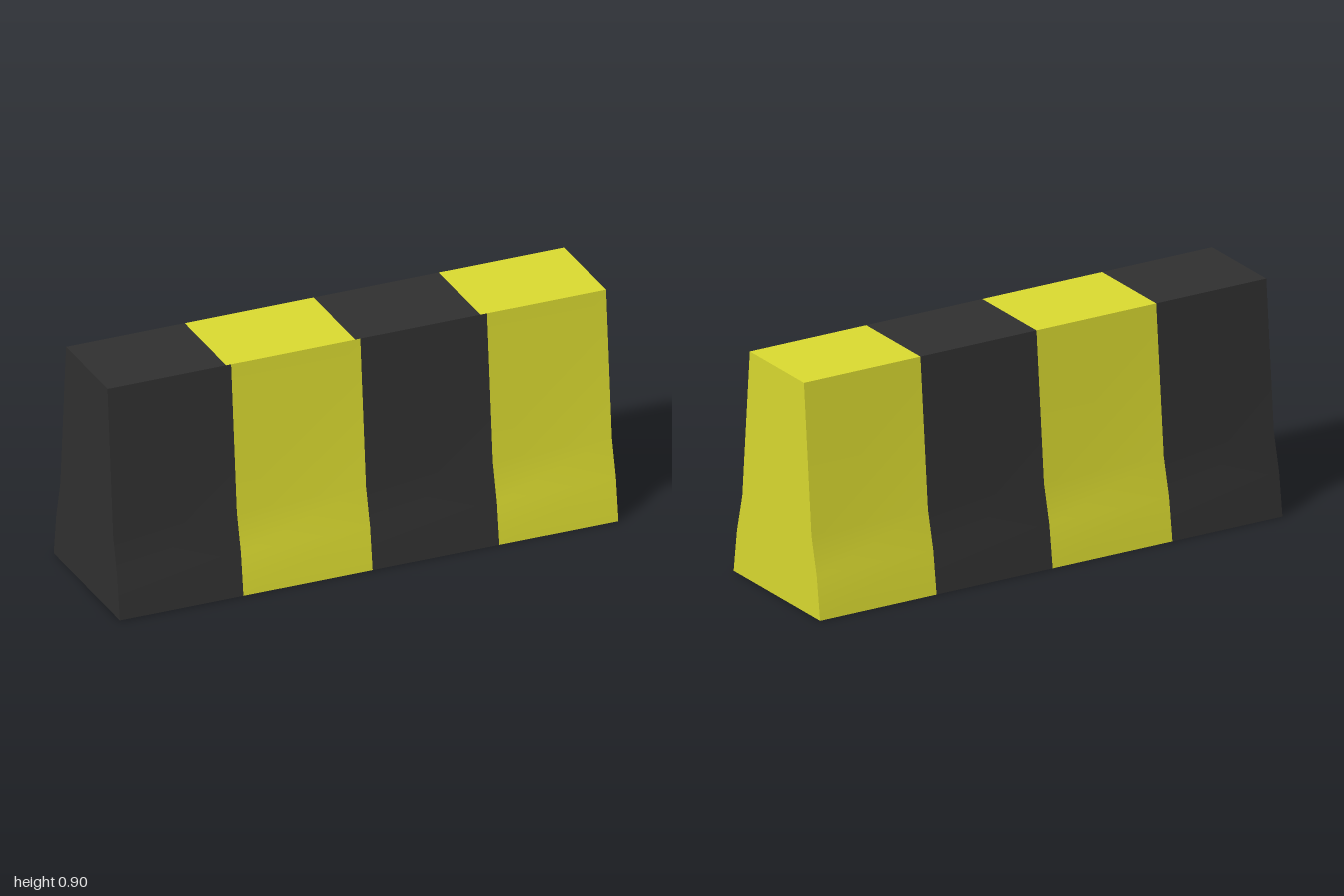
import * as THREE from 'three';

export function createModel() {
  const group = new THREE.Group();
  const yellow = new THREE.MeshStandardMaterial({ color: 0xdada30 });
  yellow.name = 'yellow paint';
  const black = new THREE.MeshStandardMaterial({ color: 0x303030 });
  black.name = 'black paint';

  const add = (name, geometry, material) => {
    const mesh = new THREE.Mesh(geometry, material);
    mesh.name = name;
    group.add(mesh);
  };

  // Half profile of the flared barrier: [z, y] from foot to crest
  const front = [[0.3, 0], [0.277, 0.167], [0.24, 0.315], [0.188, 0.9]];
  const back = front.map(([z, y]) => [-z, y]).reverse();

  // Sweeps a line of profile points from x0 to x1, smooth along the profile
  const strip = (points, x0, x1) => {
    const positions = [], index = [];
    points.forEach(([z, y], i) => {
      positions.push(x0, y, z, x1, y, z);
      const a = i * 2;
      if (i < points.length - 1) index.push(a, a + 1, a + 3, a, a + 3, a + 2);
    });
    const geometry = new THREE.BufferGeometry();
    geometry.setAttribute('position', new THREE.Float32BufferAttribute(positions, 3));
    geometry.setIndex(index);
    geometry.computeVertexNormals();
    return geometry;
  };

  // Each face carries four alternating stripes
  const faces = [
    { name: 'frontStripe', points: front, cuts: [-1, -0.504, 0.015, 0.522, 1], paint: [black, yellow] },
    { name: 'topStripe', points: [front[3], back[0]], cuts: [-1, -0.524, -0.006, 0.496, 1], paint: [black, yellow] },
    { name: 'backStripe', points: back, cuts: [-1, -0.524, -0.006, 0.496, 1], paint: [black, yellow] },
    { name: 'bottomStripe', points: [back[3], front[0]], cuts: [-1, -0.505, 0, 0.51, 1], paint: [yellow, black] },
  ];
  for (const { name, points, cuts, paint } of faces) {
    for (let i = 0; i < 4; i++) {
      add(name + (i + 1), strip(points, cuts[i], cuts[i + 1]), paint[i % 2]);
    }
  }

  // Flat end caps
  const outline = new THREE.Shape([...front, ...back].map(([z, y]) => new THREE.Vector2(z, y)));
  for (const side of [1, -1]) {
    const cap = new THREE.ShapeGeometry(outline).rotateY(side * Math.PI / 2).translate(side, 0, 0);
    add(side > 0 ? 'leftEnd' : 'rightEnd', cap, side > 0 ? yellow : black);
  }
  return group;
}
